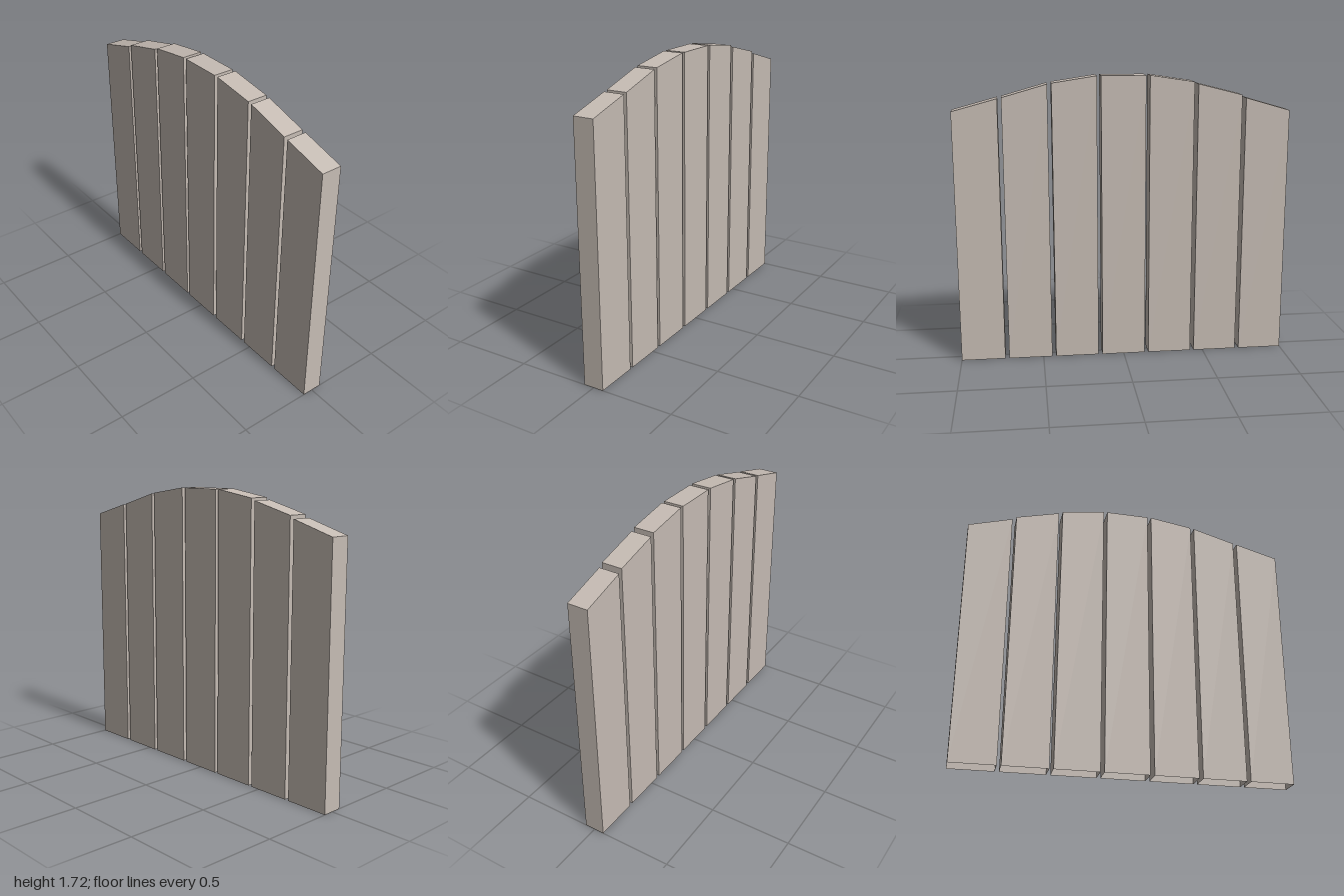
import * as THREE from 'three';

const THICKNESS = 0.124;

// One hollow board, open underneath, with a sloped top from z0 (height y0) to z1 (height y1)
function boardGeometry(z0, z1, y0, y1) {
  const g = new THREE.BoxGeometry(THICKNESS, 1, z0 - z1);
  const p = g.attributes.position;
  for (let i = 0; i < p.count; i++) {
    const front = p.getZ(i) > 0;
    const top = p.getY(i) > 0;
    p.setZ(i, front ? z0 : z1);
    p.setY(i, top ? (front ? y0 : y1) : 0);
  }
  // leave out the bottom face
  const index = Array.from(g.index.array);
  index.splice(18, 6);
  g.setIndex(index);
  g.clearGroups();
  g.computeVertexNormals();
  return g;
}

export function createModel() {
  const model = new THREE.Group();
  model.name = 'fencePanel';
  const wood = new THREE.MeshStandardMaterial({ color: 0xc6bcb4, side: THREE.DoubleSide });
  wood.name = 'paleWood';

  // front edge z, back edge z, height at front edge, height at back edge
  const boards = [
    [1, 0.735, 1.525, 1.597],
    [0.711, 0.446, 1.602, 1.677],
    [0.422, 0.158, 1.682, 1.722],
    [0.133, -0.132, 1.722, 1.722],
    [-0.155, -0.42, 1.722, 1.682],
    [-0.444, -0.709, 1.669, 1.602],
    [-0.733, -1, 1.584, 1.507],
  ];
  boards.forEach((b, i) => {
    const mesh = new THREE.Mesh(boardGeometry(...b), wood);
    mesh.name = `board${i + 1}`;
    model.add(mesh);
  });
  return model;
}
